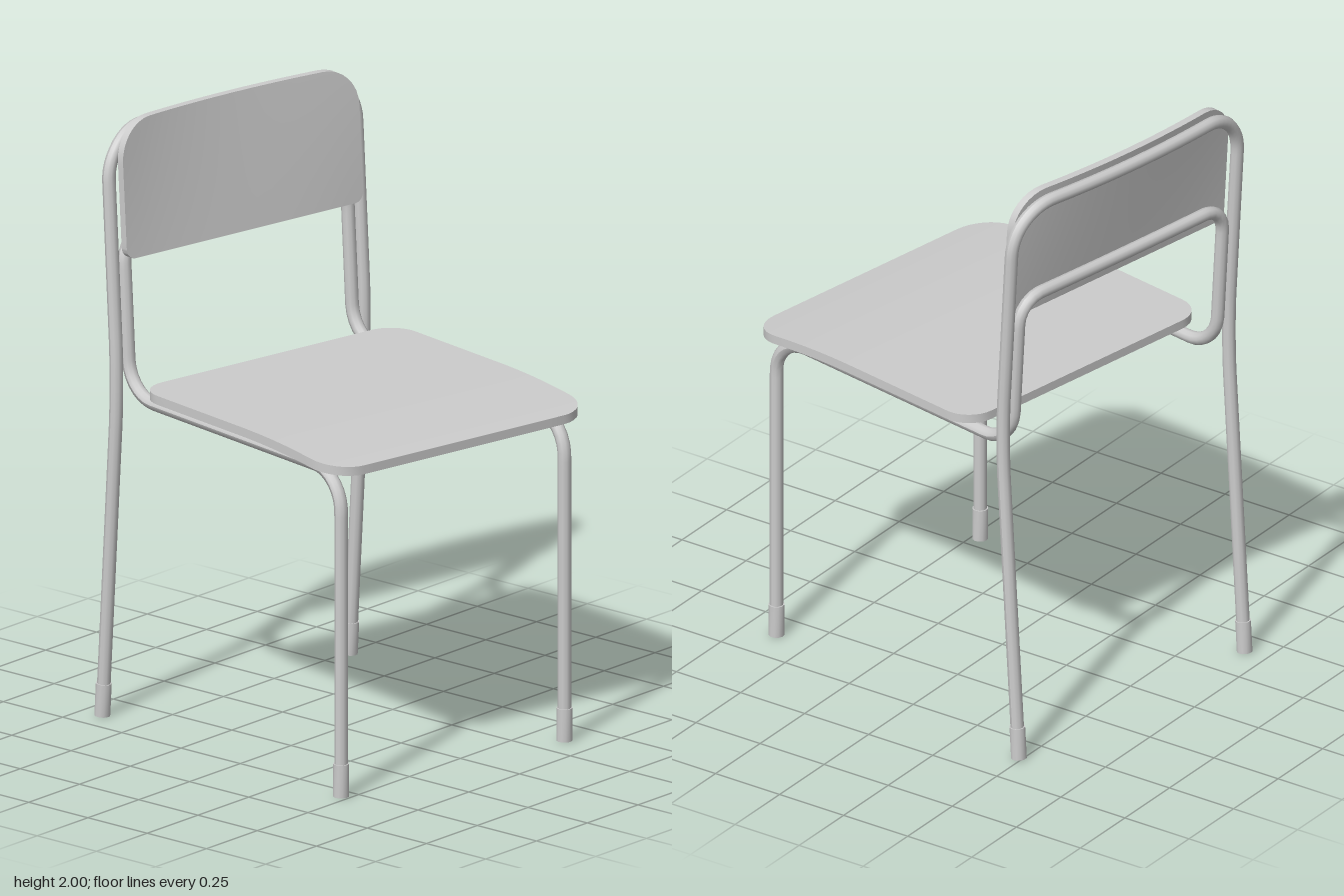
import * as THREE from 'three';
import { toCreasedNormals } from 'three/addons/utils/BufferGeometryUtils.js';

const material = new THREE.MeshStandardMaterial({ color: 0xcccccc });
const TUBE = 0.022;
const V = (x, y, z) => new THREE.Vector3(x, y, z);

// Depth of the back frame at a given height, and the backward bow of its upper part
const frameX = (y) => -0.508 - 0.0635 * (y - 1.13);
const bow = (y, z) =>
  0.035 * Math.max(0, (y - 1.55) / 0.45) * Math.max(0, 1 - (z / 0.5) ** 2);

function addMesh(group, name, geometry) {
  const mesh = new THREE.Mesh(geometry, material);
  mesh.name = name;
  group.add(mesh);
  return mesh;
}

// Bent tube through corner points [x, y, z, bendRadius]
function bentTube(corners) {
  const path = new THREE.CurvePath();
  const pts = corners.map((c) => V(c[0], c[1], c[2]));
  let last = pts[0];
  for (let i = 1; i < pts.length - 1; i++) {
    const p = pts[i], r = corners[i][3];
    const toPrev = pts[i - 1].clone().sub(p).normalize();
    const toNext = pts[i + 1].clone().sub(p).normalize();
    const a = p.clone().addScaledVector(toPrev, r);
    const b = p.clone().addScaledVector(toNext, r);
    path.add(new THREE.LineCurve3(last, a));
    // Handles of a near-circular bend
    path.add(new THREE.CubicBezierCurve3(a, a.clone().lerp(p, 0.55), b.clone().lerp(p, 0.55), b));
    last = b;
  }
  path.add(new THREE.LineCurve3(last, pts[pts.length - 1]));
  const geometry = new THREE.TubeGeometry(path, 220, TUBE, 10);
  const pos = geometry.attributes.position;
  for (let i = 0; i < pos.count; i++) {
    pos.setX(i, pos.getX(i) - bow(pos.getY(i), pos.getZ(i)));
  }
  geometry.computeVertexNormals();
  return geometry;
}

// Mirror half a tube path across z = 0
const mirrored = (half) =>
  [...half, ...half.slice().reverse().map(([x, y, z, r]) => [x, y, -z, r])];

// Rounded-corner sheet from s0 to s1; place(s, w, side) maps it into space (side 1 = face, 0 = back)
function sheet(s0, s1, halfWidth, r0, r1, place) {
  const rows = [], steps = 8, cols = 16;
  for (let i = 0; i <= steps; i++) {
    const a = (i / steps) * Math.PI / 2;
    rows.push([s0 + r0 * (1 - Math.cos(a)), halfWidth - r0 * (1 - Math.sin(a))]);
  }
  for (let i = 1; i < 12; i++) {
    rows.push([s0 + r0 + (s1 - r1 - s0 - r0) * i / 12, halfWidth]);
  }
  for (let i = 0; i <= steps; i++) {
    const a = (i / steps) * Math.PI / 2;
    rows.push([s1 - r1 * (1 - Math.sin(a)), halfWidth - r1 * (1 - Math.cos(a))]);
  }
  const n = cols + 1, loop = 2 * n, position = [], index = [];
  for (const [s, w] of rows) {
    for (let j = 0; j < loop; j++) {
      const side = j < n ? 1 : 0;
      const k = side ? j : loop - 1 - j;
      position.push(...place(s, w * (2 * k / cols - 1), side));
    }
  }
  const quad = (a, b, c, d) => index.push(a, b, c, a, c, d);
  for (let i = 0; i < rows.length - 1; i++) {
    for (let j = 0; j < loop; j++) {
      const a = i * loop + j, d = i * loop + (j + 1) % loop;
      quad(a, d, d + loop, a + loop);
    }
  }
  const end = (rows.length - 1) * loop;
  for (let j = 0; j < cols; j++) {
    const b = loop - 1 - j;
    quad(j, b, b - 1, j + 1);
    quad(end + j, end + j + 1, end + b - 1, end + b);
  }
  const geometry = new THREE.BufferGeometry();
  geometry.setAttribute('position', new THREE.Float32BufferAttribute(position, 3));
  geometry.setIndex(index);
  return toCreasedNormals(geometry, 0.6);
}

export function createModel() {
  const model = new THREE.Group();
  model.name = 'chair';
  const chair = new THREE.Group();
  chair.name = 'chairBody';
  // The chair faces +x, turned slightly
  chair.rotation.y = THREE.MathUtils.degToRad(-10);
  model.add(chair);

  // Outer hoop: back legs and top of the back
  addMesh(chair, 'backLegFrame', bentTube(mirrored([
    [-0.583, 0.02, 0.513, 0],
    [-0.508, 1.13, 0.513, 0.15],
    [frameX(1.965), 1.965, 0.513, 0.16],
  ])));

  // Inner hoop: front legs, seat rails, uprights and lower back rail
  addMesh(chair, 'frontLegFrame', bentTube(mirrored([
    [0.56, 0.02, 0.463, 0],
    [0.56, 1.087, 0.463, 0.13],
    [-0.505, 1.087, 0.463, 0.12],
    [frameX(1.62), 1.62, 0.463, 0.09],
  ])));

  // Foot caps
  for (const side of [1, -1]) {
    for (const [name, x, z, tilt] of [['frontFoot', 0.56, 0.463, 0], ['backFoot', -0.581, 0.513, -0.067]]) {
      const foot = addMesh(chair, name, toCreasedNormals(new THREE.CylinderGeometry(0.026, 0.026, 0.11, 12), 0.7));
      foot.position.set(x, 0.056, z * side);
      foot.rotation.z = tilt;
    }
  }

  // Seat: flat, dropping gently toward the front edge
  addMesh(chair, 'seat', sheet(-0.382, 0.617, 0.535, 0.1, 0.12, (s, w, side) => {
    const drop = 0.036 * Math.max(0, (s - 0.15) / 0.467) ** 2;
    return [s, 1.124 + 0.03 * side - drop, w];
  }));

  // Backrest: leans back and bows with the frame
  addMesh(chair, 'backrest', sheet(1.55, 2.0, 0.49, 0.035, 0.13, (s, w, side) =>
    [frameX(s) + TUBE + 0.026 * side - bow(s, w), s, -w]));

  return model;
}
